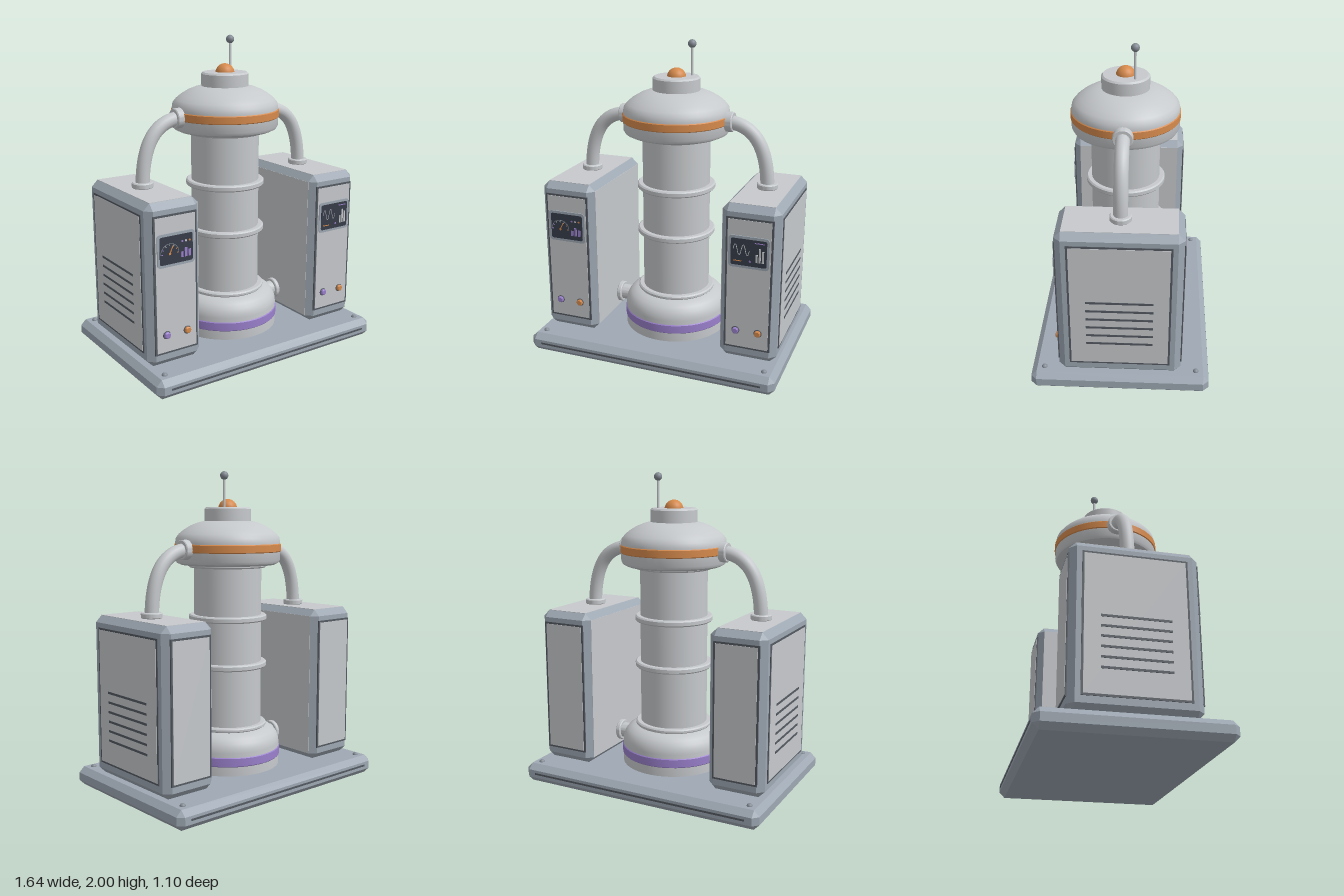
import * as THREE from 'three';
import { toCreasedNormals } from 'three/addons/utils/BufferGeometryUtils.js';
import { ConvexGeometry } from 'three/addons/geometries/ConvexGeometry.js';

const mat = (name, color) => Object.assign(new THREE.MeshStandardMaterial({ color }), { name });

export function createModel() {
  const M = {
    light: mat('light grey metal', 0xc6c9cc),
    blue: mat('blue grey metal', 0x9ea8b3),
    dark: mat('dark trim', 0x555b63),
    screen: mat('screen', 0x363c49),
    orange: mat('orange', 0xd68a4c),
    purple: mat('purple', 0x9a80cc),
    steel: mat('steel', 0x858c95),
  };
  const model = new THREE.Group();
  model.name = 'machine';

  const add = (parent, name, geo, material, x = 0, y = 0, z = 0) => {
    const mesh = new THREE.Mesh(geo, material);
    mesh.name = name;
    mesh.position.set(x, y, z);
    parent.add(mesh);
    return mesh;
  };
  const group = (parent, name, x = 0, y = 0, z = 0) => {
    const g = new THREE.Group();
    g.name = name;
    g.position.set(x, y, z);
    parent.add(g);
    return g;
  };
  const box = (w, h, d) => new THREE.BoxGeometry(w, h, d);

  // box with every edge cut by c
  const chamferBox = (w, h, d, c) => {
    const pts = [];
    for (const i of [-1, 1]) for (const j of [-1, 1]) for (const k of [-1, 1])
      for (let a = 0; a < 3; a++) {
        const v = [w / 2, h / 2, d / 2].map((s, n) => (n === a ? s : s - c));
        pts.push(new THREE.Vector3(v[0] * i, v[1] * j, v[2] * k));
      }
    return new ConvexGeometry(pts);
  };
  const lathe = (pts) => toCreasedNormals(
    new THREE.LatheGeometry(pts.map(([r, y]) => new THREE.Vector2(r, y)), 48), 0.6);
  // disc or ring stack with small bevels at both rims
  const drum = (r, h, b = 0.008) => lathe([[0, 0], [r - b, 0], [r, b], [r, h - b], [r - b, h], [0, h]]);
  const roundRect = (w, h, r, depth) => {
    const s = new THREE.Shape();
    const x = w / 2, y = h / 2;
    s.moveTo(-x + r, -y);
    s.absarc(x - r, -y + r, r, -Math.PI / 2, 0);
    s.absarc(x - r, y - r, r, 0, Math.PI / 2);
    s.absarc(-x + r, y - r, r, Math.PI / 2, Math.PI);
    s.absarc(-x + r, -y + r, r, Math.PI, Math.PI * 1.5);
    return new THREE.ExtrudeGeometry(s, { depth, bevelEnabled: false, curveSegments: 5 });
  };

  // Base plate with front groove and corner bolts
  const base = group(model, 'base');
  add(base, 'basePlate', chamferBox(1.64, 0.12, 1.1, 0.035), M.blue, 0, 0.06, 0);
  for (const s of [-1, 1]) add(base, 'groove', box(1.48, 0.012, 0.004), M.dark, 0, 0.062, s * 0.55);
  for (const x of [-0.74, 0.74]) for (const z of [-0.47, 0.47]) {
    add(base, 'bolt', new THREE.SphereGeometry(0.018, 16, 8, 0, Math.PI * 2, 0, Math.PI / 2), M.steel, x, 0.118, z);
  }

  // Central column
  const column = group(model, 'column');
  add(column, 'foot', lathe([[0.335, 0.12], [0.335, 0.265], [0.332, 0.29], [0.32, 0.32], [0.3, 0.345],
    [0.27, 0.363], [0.235, 0.375], [0, 0.375]]), M.light);
  add(column, 'purpleBand', drum(0.34, 0.066), M.purple, 0, 0.175, 0);
  add(column, 'shaft', new THREE.CylinderGeometry(0.216, 0.216, 1.06, 48), M.light, 0, 0.9, 0);
  for (const [y, h] of [[0.37, 0.028], [0.762, 0.038], [1.064, 0.038], [1.402, 0.026]]) {
    add(column, 'collar', drum(0.25, h), M.light, 0, y, 0);
  }

  // Domed head with cap, lamp and antenna
  const head = group(model, 'head');
  add(head, 'dome', lathe([[0, 1.42], [0.3, 1.42], [0.325, 1.432], [0.335, 1.45], [0.335, 1.56], [0.33, 1.59],
    [0.31, 1.615], [0.28, 1.64], [0.235, 1.667], [0.19, 1.685], [0.14, 1.697], [0, 1.7]]), M.light);
  add(head, 'orangeBand', drum(0.34, 0.058), M.orange, 0, 1.498, 0);
  add(head, 'cap', drum(0.148, 0.1, 0.01), M.light, 0, 1.68, 0);
  add(head, 'lamp', new THREE.SphereGeometry(0.06, 24, 16), M.orange, 0, 1.772, 0);
  add(head, 'antennaRod', new THREE.CylinderGeometry(0.008, 0.008, 0.2, 12), M.light, 0.08, 1.87, -0.06);
  add(head, 'antennaBall', new THREE.SphereGeometry(0.026, 20, 14), M.steel, 0.08, 1.974, -0.06);

  // Framed panel facing +z
  const panel = (parent, w, h) => {
    add(parent, 'panelFrame', box(w, h, 0.008), M.dark);
    add(parent, 'panelFace', box(w - 0.024, h - 0.024, 0.009), M.light, 0, 0, 0.002);
  };

  const bars = (parent, material, x0, step, w, heights) => heights.forEach((h, i) =>
    add(parent, 'bar', box(w, h, 0.004), material, x0 + i * step, -0.055 + h / 2, 0));

  // Gauge display
  const gaugeDisplay = (d) => {
    add(d, 'dial', new THREE.TorusGeometry(0.06, 0.002, 4, 24, Math.PI), M.steel, -0.045, -0.02, 0);
    for (let i = 0; i <= 6; i++) {
      const a = (i * Math.PI) / 6;
      add(d, 'tick', box(0.01, 0.004, 0.004), i > 4 ? M.purple : i < 2 ? M.orange : M.light,
        -0.045 + 0.052 * Math.cos(a), -0.02 + 0.052 * Math.sin(a), 0).rotation.z = a;
    }
    add(d, 'needle', box(0.005, 0.05, 0.004), M.orange, -0.035, 0.002, 0.001).rotation.z = -0.45;
    add(d, 'needleHub', new THREE.CircleGeometry(0.008, 16), M.orange, -0.045, -0.02, 0.003);
    bars(d, M.purple, 0.038, 0.025, 0.016, [0.034, 0.055, 0.042]);
    [M.purple, M.light, M.orange].forEach((m, i) =>
      add(d, 'light', new THREE.CircleGeometry(0.007, 12), m, 0.038 + i * 0.025, 0.042, 0.002));
  };

  // Wave display
  const waveDisplay = (d) => {
    const pts = [];
    for (let i = 0; i <= 20; i++) {
      pts.push(new THREE.Vector3(-0.095 + i * 0.005, 0.015 + 0.034 * Math.sin(i * 0.63), 0));
    }
    add(d, 'wave', new THREE.TubeGeometry(new THREE.CatmullRomCurve3(pts), 40, 0.002, 4), M.light);
    bars(d, M.light, 0.05, 0.019, 0.012, [0.05, 0.09, 0.075]);
    add(d, 'dash', box(0.06, 0.005, 0.004), M.purple, 0.066, 0.066, 0);
    add(d, 'dash', box(0.05, 0.005, 0.004), M.orange, -0.068, -0.056, 0);
    add(d, 'light', new THREE.CircleGeometry(0.007, 12), M.purple, 0.01, -0.052, 0.002);
  };

  // Cabinet with panels, display, buttons and pipes on each side
  for (const s of [-1, 1]) {
    const cab = group(model, s > 0 ? 'leftCabinet' : 'rightCabinet', s * 0.6, 0.62, 0);
    add(cab, 'cabinetBody', chamferBox(0.36, 1, 0.75, 0.04), M.blue);
    add(cab, 'topPlate', box(0.28, 0.004, 0.67), M.light, 0, 0.5, 0);
    add(cab, 'innerPlate', box(0.004, 0.92, 0.67), M.light, -s * 0.18, 0, 0);

    panel(group(cab, 'frontPanel', 0, 0.005, 0.375), 0.29, 0.85);
    const back = group(cab, 'backPanel', 0, 0.005, -0.375);
    back.rotation.y = Math.PI;
    panel(back, 0.29, 0.85);
    const side = group(cab, 'sidePanel', s * 0.18, 0.005, 0);
    side.rotation.y = s * Math.PI / 2;
    panel(side, 0.61, 0.85);
    for (let i = 0; i < 6; i++) add(side, 'vent', box(0.4, 0.014, 0.008), M.dark, 0, 0.035 - i * 0.06, 0.005);

    add(cab, 'displayFrame', roundRect(0.25, 0.2, 0.022, 0.014), M.blue, 0, 0.22, 0.374);
    add(cab, 'displayScreen', roundRect(0.22, 0.168, 0.012, 0.003), M.screen, 0, 0.22, 0.387);
    (s < 0 ? gaugeDisplay : waveDisplay)(group(cab, 'display', 0, 0.22, 0.391));

    for (const [x, m] of [[-0.07, M.purple], [0.07, M.orange]]) {
      add(cab, 'buttonRim', drum(0.025, 0.01, 0.002), M.dark, x, -0.3, 0.375).rotation.x = Math.PI / 2;
      add(cab, 'button', drum(0.02, 0.022, 0.005), m, x, -0.3, 0.378).rotation.x = Math.PI / 2;
    }

    // Upper bent pipe with collars
    const pipes = group(model, 'pipes');
    const v = (x, y) => new THREE.Vector3(s * x, y, 0);
    const bend = new THREE.CubicBezierCurve3(v(0.6, 1.13), v(0.592, 1.38), v(0.51, 1.52), v(0.32, 1.52));
    add(pipes, 'bentPipe', new THREE.TubeGeometry(bend, 28, 0.043, 20), M.light);
    add(pipes, 'pipeCollar', drum(0.065, 0.036, 0.006), M.light, s * 0.6, 1.12, 0);
    const across = (name, x, y, r, l) => {
      add(pipes, name, drum(r, l, 0.005), M.light, s * x, y, 0).rotation.z = -s * Math.PI / 2;
    };
    across('pipeCollar', 0.325, 1.52, 0.062, 0.05);
    // Lower connector
    across('connector', 0.31, 0.255, 0.05, 0.13);
    across('connectorFlange', 0.385, 0.255, 0.068, 0.03);
  }
  return model;
}
